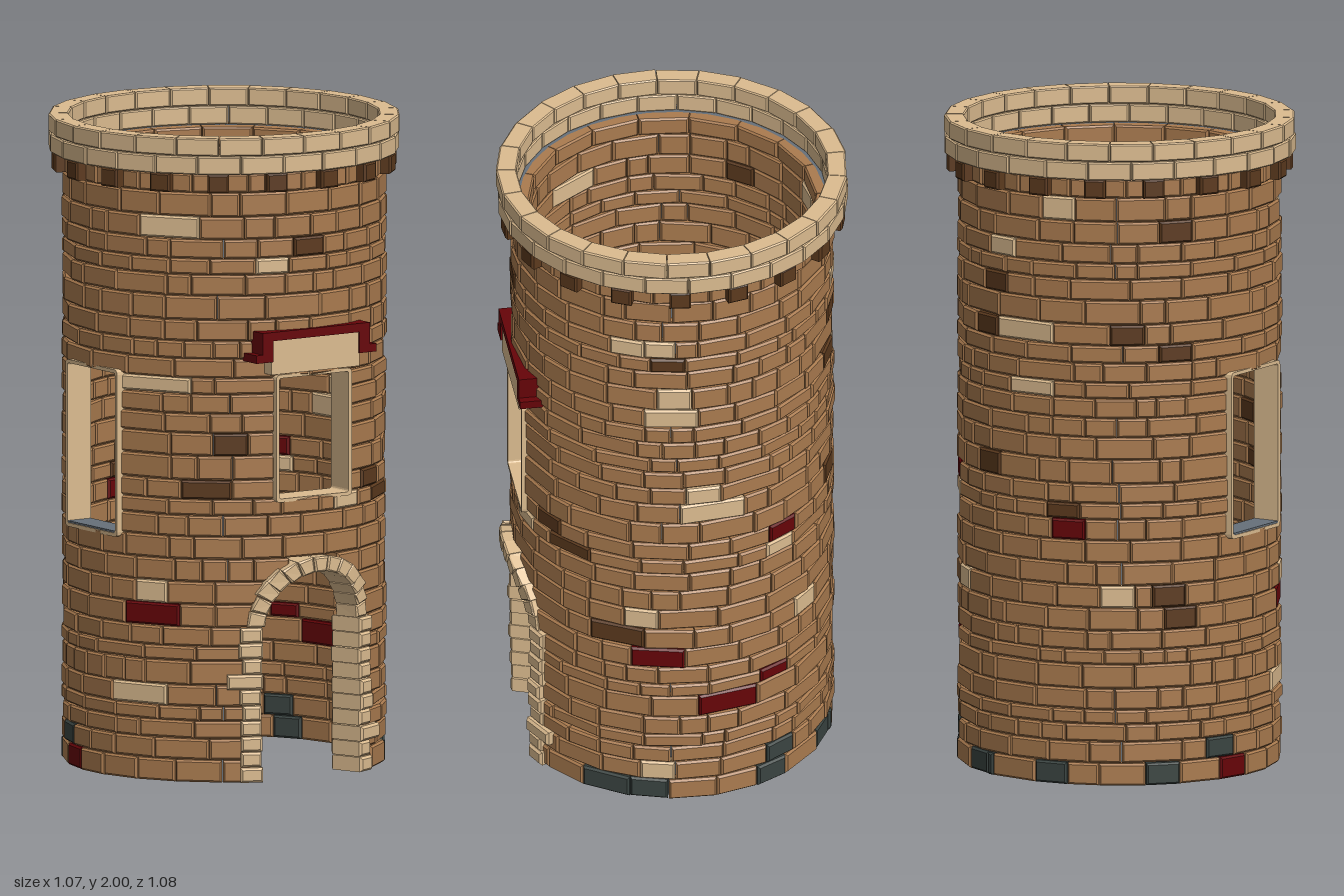
import * as THREE from 'three';

const mat = (name, color) => Object.assign(new THREE.MeshStandardMaterial({ color }), { name });
const TAU = Math.PI * 2;
const angleOf = (x, r = 0.49) => Math.asin(x / r);

// Course boundaries of the wall, from the ground up
const ROWS = [0, 0.07, 0.135, 0.19, 0.235, 0.3, 0.375, 0.42, 0.48, 0.55, 0.62, 0.69, 0.76, 0.825, 0.875, 0.935,
  1.01, 1.08, 1.14, 1.2, 1.25, 1.31, 1.365, 1.43, 1.505, 1.57, 1.62, 1.68, 1.75, 1.825];

// Odd-coloured stones, by the direction they face: [offset to the right, height, angular width if long]
const ACCENTS = [
  { facing: 0,
    tan: [[-0.4, 1.72, 0.4], [-0.14, 1.6], [-0.42, 1.23, 0.44], [0.13, 0.85], [-0.45, 0.27, 0.4], [-0.43, 0.58]],
    dark: [[-0.02, 1.65], [-0.26, 1.05], [-0.32, 0.91, 0.32], [0.25, 0.91], [0.32, 0.85, 0.33]],
    red: [[-0.43, 0.52, 0.38]] },
  { facing: Math.PI / 2,
    tan: [[-0.21, 1.65], [-0.12, 1.65], [-0.07, 1.47], [-0.08, 1.39, 0.34], [0.02, 1.12],
      [0.05, 1.05, 0.42], [-0.17, 0.66], [-0.12, 0.11], [0.36, 0.58], [0.27, 0.85]],
    dark: [[-0.09, 1.6], [-0.24, 0.59, 0.36], [0.45, 1.39]],
    red: [[-0.12, 0.52, 0.34], [0.28, 0.91], [0.1, 0.345, 0.39], [0.25, 0.4]],
    slate: [[-0.27, 0.04, 0.32], [-0.14, 0.04], [0.27, 0.11], [0.24, 0.04], [0.43, 0.04]] },
  { facing: 2.53,
    tan: [[0.17, 1.65], [0.27, 1.22, 0.32]], dark: [[0.14, 1.54]], slate: [[0.08, 0.04]] },
  { facing: 3.75,
    tan: [[-0.21, 1.78], [-0.31, 1.4, 0.42], [-0.03, 0.58]],
    dark: [[0.15, 1.7], [0, 1.4], [0.15, 1.33], [-0.41, 0.99], [-0.195, 0.85], [0.13, 0.58], [0.165, 0.52]],
    red: [[-0.18, 0.79], [0.33, 0.03]],
    slate: [[-0.23, 0.04], [0.11, 0.04], [0.29, 0.1], [-0.44, 0.04]] },
];

export function createModel() {
  const tower = new THREE.Group();
  tower.name = 'tower';
  const M = {
    brown: mat('brown brick', 0xaa7b4f), tan: mat('tan stone', 0xdcbc90), dark: mat('dark brick', 0x5c3a1e),
    red: mat('red brick', 0x660408), slate: mat('slate stone', 0x3a4441), mortar: mat('grey mortar', 0x66707a),
  };
  M.mortar.side = THREE.DoubleSide;

  let seed = 7;
  const rand = () => (seed = (seed * 16807) % 2147483647) / 2147483647;
  const add = (name, geo, material, parent = tower) => {
    const m = new THREE.Mesh(geo, material);
    m.name = name;
    parent.add(m);
    return m;
  };

  // Bevelled stone: four (angle, height) corners pushed out from radius r0 to r1.
  // A corner with a third value stays parallel to the window centred on that angle.
  function stone(out, corners, r0, r1, b = 0.006) {
    const ct = corners.reduce((s, c) => s + c[0], 0) / 4;
    const cy = corners.reduce((s, c) => s + c[1], 0) / 4;
    const ring = (r, inset) => corners.map(([t, y, w]) => {
      const edge = w === undefined ? t : w + Math.sign(t - w) * angleOf(0.134, r);
      const a = edge - (Math.sign(t - ct) * inset) / r;
      return [r * Math.sin(a), y - Math.sign(y - cy) * inset, r * Math.cos(a)];
    });
    const g = 0.0012;
    const rings = [ring(r0, g + b), ring(r0 + b, g), ring(r1 - b, g), ring(r1, g + b)];
    const quad = (p, q, r, s) => out.push(...p, ...q, ...r, ...p, ...r, ...s);
    for (let k = 0; k < 3; k++) {
      const A = rings[k], B = rings[k + 1];
      for (let i = 0; i < 4; i++) quad(A[i], A[(i + 1) % 4], B[(i + 1) % 4], B[i]);
    }
    quad(...rings[3]);
    quad(...[...rings[0]].reverse());
  }
  const box = (t0, t1, y0, y1, w0, w1) => [[t0, y0, w0], [t1, y0, w1], [t1, y1, w1], [t0, y1, w0]];
  const batchMesh = (name, positions, material) => {
    const geo = new THREE.BufferGeometry();
    geo.setAttribute('position', new THREE.Float32BufferAttribute(positions, 3));
    geo.computeVertexNormals();
    return add(name, geo, material);
  };

  // Accent stones as angles round the wall
  const accents = [];
  for (const { facing, ...colours } of ACCENTS) {
    for (const [c, list] of Object.entries(colours)) {
      list.forEach(([x, y, w = 0.22]) => accents.push({ c, t: facing + angleOf(x), y, w }));
    }
  }

  // Splits the arc a..b into stones: the row's accents first, plain bricks of mixed widths between
  function layCourse(a, b, y0, y1) {
    const stones = [];
    const plain = (from, to) => {
      const n = Math.max(1, Math.round((to - from) / 0.26));
      const widths = Array.from({ length: n }, () => 0.6 + rand());
      const scale = (to - from) / widths.reduce((s, v) => s + v, 0);
      for (const v of widths) stones.push({ c: 'brown', t0: from, t1: (from += v * scale) });
    };
    let cursor = a;
    accents.filter((s) => s.y > y0 && s.y < y1)
      .map((s) => ({ ...s, t: a + ((((s.t - a) % TAU) + TAU) % TAU) }))
      .filter((s) => s.t < b)
      .sort((p, q) => p.t - q.t)
      .forEach(({ c, t, w }) => {
        const lo = t - w / 2 - cursor < 0.06 ? cursor : t - w / 2;
        if (lo > cursor) plain(cursor, lo);
        cursor = Math.min(b, t + w / 2);
        stones.push({ c, t0: lo, t1: cursor });
      });
    if (b - cursor > 0.001) plain(cursor, b);
    return stones;
  }

  // Wall courses, broken by the doorway, front window and side window
  const wall = { brown: [], tan: [], dark: [], red: [], slate: [] };
  const mortar = new THREE.Group();
  mortar.name = 'mortar';
  tower.add(mortar);
  const WEST = TAU * 0.75, w = angleOf(0.134, 0.46);
  for (let i = 0; i < ROWS.length - 1; i++) {
    const y0 = ROWS[i], y1 = ROWS[i + 1], mid = (y0 + y1) / 2;
    const frontWindow = mid > 0.87 && mid < 1.25;
    let h = 0;
    if (mid < 0.48) h = angleOf(0.205);
    else if (mid < 0.68) h = angleOf(Math.sqrt(0.205 ** 2 - (mid - 0.47) ** 2));
    else if (frontWindow) h = w;
    const start = h || rand() * 0.3, end = h ? TAU - h : TAU + start;
    const [c0, c1] = frontWindow ? [0, TAU] : [];
    const arcs = mid > 0.76 && mid < 1.25
      ? [[start, WEST - w, c0, WEST], [WEST + w, end, WEST, c1]]
      : [[start, end, c0, c1]];
    for (const [a, b, ca, cb] of arcs) {
      const n = Math.ceil((b - a) / 0.2);
      add('mortarCourse', new THREE.CylinderGeometry(0.46, 0.46, y1 - y0, n, 1, true, a, b - a), M.mortar, mortar).position.y = mid;
      const row = layCourse(a, b, y0, y1);
      row.forEach(({ c, t0, t1 }, k) => {
        const sides = [k === 0 ? ca : undefined, k === row.length - 1 ? cb : undefined];
        stone(wall[c], box(t0, t1, y0, y1, ...sides), 0.435, 0.492 + rand() * 0.006);
      });
    }
  }

  // Corbel course: a plain brick ring with dark blocks jutting out of it
  const corbels = [];
  for (let i = 0; i < 18; i++) {
    const step = TAU / 18, t = i * step;
    stone(corbels, box(t, t + 0.13, 1.828, 1.889), 0.48, 0.53);
    stone(wall.brown, box(t - 0.1, t - 0.1 + step, 1.825, 1.886), 0.438, 0.502);
  }
  batchMesh('corbels', corbels, M.dark);
  for (const [c, positions] of Object.entries(wall)) batchMesh(`${c}WallBricks`, positions, M[c]);
  const bed = add('crownBed', new THREE.RingGeometry(0.468, 0.5, 32), M.mortar);
  bed.rotation.x = -Math.PI / 2;
  bed.position.y = 1.887;

  // Crown: two staggered rings of tan blocks
  const crown = [];
  for (let i = 0; i < 25; i++) {
    const step = TAU / 25;
    for (const [off, y0, y1] of [[0, 1.886, 1.944], [0.5, 1.944, 2.001]]) {
      const t = (i + off) * step;
      stone(crown, box(t, t + step, y0, y1), 0.476, 0.535 + rand() * 0.004, 0.004);
    }
  }
  batchMesh('crown', crown, M.tan);

  // Doorway: stacked side blocks and a ring of arch stones
  const door = [];
  for (const s of [-1, 1]) {
    for (let i = 0; i < 10; i++) {
      const wide = i === (s < 0 ? 6 : 2) ? 0.04 : rand() * 0.01;
      const xs = [s * (0.17 + rand() * 0.008), s * (0.23 + wide)].sort((a, b) => a - b);
      stone(door, box(angleOf(xs[0]), angleOf(xs[1]), i * 0.048, i * 0.048 + 0.048), 0.395, 0.505 + rand() * 0.012, 0.007);
    }
  }
  for (let i = 0; i < 13; i++) {
    const p0 = (i / 13) * Math.PI, p1 = ((i + 1) / 13) * Math.PI;
    const at = (r, p) => [angleOf(r * Math.cos(p)), 0.48 + r * Math.sin(p)];
    const outer = 0.213 + rand() * 0.008;
    stone(door, [at(0.165, p0), at(outer, p0), at(outer, p1), at(0.165, p1)], 0.42, 0.5 + 0.03 * Math.sin((p0 + p1) / 2), 0.005);
  }
  batchMesh('doorArch', door, M.tan);

  // Window linings: thin rounded frames running through the wall
  function roundedRect(target, hw, y0, y1, r) {
    return target.moveTo(-hw + r, y0).lineTo(hw - r, y0).quadraticCurveTo(hw, y0, hw, y0 + r).lineTo(hw, y1 - r)
      .quadraticCurveTo(hw, y1, hw - r, y1).lineTo(-hw + r, y1).quadraticCurveTo(-hw, y1, -hw, y1 - r)
      .lineTo(-hw, y0 + r).quadraticCurveTo(-hw, y0, -hw + r, y0);
  }
  function windowFrame(name, y0, y1, z0, z1) {
    const shape = roundedRect(new THREE.Shape(), 0.14, y0, y1, 0.015);
    shape.holes.push(roundedRect(new THREE.Path(), 0.128, y0 + 0.011, y1 - 0.011, 0.008));
    const geo = new THREE.ExtrudeGeometry(shape, { depth: z1 - z0, bevelEnabled: false, curveSegments: 3 });
    return add(name, geo.translate(0, 0, z0), M.tan);
  }
  windowFrame('frontWindowFrame', 0.865, 1.26, 0.392, 0.488);
  windowFrame('sideWindowFrame', 0.745, 1.262, 0.405, 0.492).rotation.y = -Math.PI / 2;
  add('sideWindowSill', new THREE.BoxGeometry(0.086, 0.006, 0.252), M.mortar).position.set(-0.449, 0.76, 0);

  // Lintel with a stepped red hood over it
  add('lintel', new THREE.BoxGeometry(0.325, 0.105, 0.065), M.tan).position.set(-0.003, 1.317, 0.467);
  const hood = new THREE.Shape();
  const half = [[0.16, 1.37], [0.16, 1.305], [0.222, 1.305], [0.222, 1.33], [0.198, 1.33], [0.198, 1.397]];
  half.forEach(([x, y], i) => (i ? hood.lineTo(x, y) : hood.moveTo(x, y)));
  [...half].reverse().forEach(([x, y]) => hood.lineTo(-x, y));
  add('lintelHood', new THREE.ExtrudeGeometry(hood, { depth: 0.075, bevelEnabled: false }).translate(-0.003, 0, 0.43), M.red);

  return tower;
}
